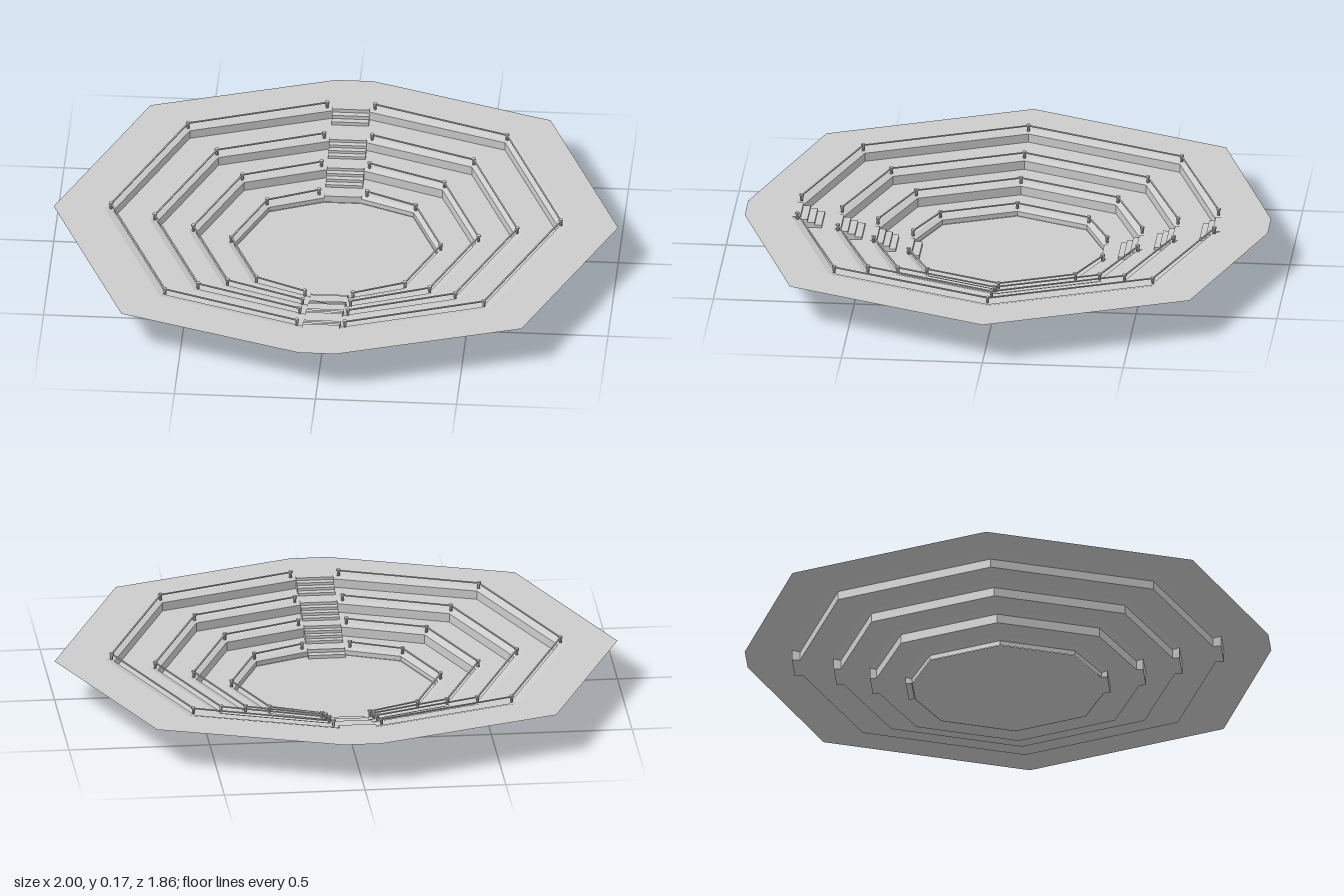
import * as THREE from 'three';

const GAP = 0.066; // half width of the stairways
const material = new THREE.MeshStandardMaterial({ color: 0xcccccc, flatShading: true, side: THREE.DoubleSide });

// Right half of the plan outline, from front to back
const halfOutline = (r, gap = GAP) => [
  [gap, 0.928 * r], [0.709 * r, 0.709 * r], [r, 0], [0.709 * r, -0.709 * r], [gap, -0.928 * r],
];
const outline = (r) => {
  const right = halfOutline(r);
  return [...right, ...right.slice().reverse().map(([x, z]) => [-x, z])];
};

// Sheet lofted between two outlines
function band(r0, y0, r1, y1) {
  const a = outline(r0), b = outline(r1), pos = [];
  a.forEach((p, i) => {
    const j = (i + 1) % a.length;
    const A = [p[0], y0, p[1]], B = [b[i][0], y1, b[i][1]];
    const C = [b[j][0], y1, b[j][1]], D = [a[j][0], y0, a[j][1]];
    pos.push(...A, ...B, ...C, ...A, ...C, ...D);
  });
  const g = new THREE.BufferGeometry();
  g.setAttribute('position', new THREE.Float32BufferAttribute(pos, 3));
  g.computeVertexNormals();
  return g;
}

export function createModel() {
  const model = new THREE.Group();
  model.name = 'terracedPit';
  const add = (geometry, name, parent = model) => {
    const m = new THREE.Mesh(geometry, material);
    m.name = name;
    parent.add(m);
    return m;
  };
  const addBox = (name, parent, y0, y1, z0, z1) => {
    const m = add(new THREE.BoxGeometry(2 * GAP, y1 - y0, Math.abs(z1 - z0)), name, parent);
    m.position.set(0, (y0 + y1) / 2, (z0 + z1) / 2);
  };

  // Sunken floor
  const shape = new THREE.Shape(outline(0.36).map(([x, z]) => new THREE.Vector2(x, -z)));
  add(new THREE.ShapeGeometry(shape).rotateX(-Math.PI / 2), 'floor');

  // Wall radius, lip radius, floor below, terrace above, stair depths and step counts
  const levels = [
    { r: 0.362, lip: 0.385, y0: 0, y1: 0.025, front: [0.027, 1], back: null },
    { r: 0.496, lip: 0.522, y0: 0.025, y1: 0.066, front: [0.068, 3], back: [0.064, 3] },
    { r: 0.633, lip: 0.66, y0: 0.066, y1: 0.106, front: [0.075, 3], back: [0.063, 3] },
    { r: 0.788, lip: 0.82, y0: 0.106, y1: 0.145, front: [0.076, 3], back: [0.045, 2] },
  ];

  const postGeo = new THREE.CylinderGeometry(0.006, 0.005, 0.025, 8);
  const capGeo = new THREE.CylinderGeometry(0.008, 0.008, 0.006, 8);

  levels.forEach(({ r, lip, y0, y1, front, back }, i) => {
    const level = new THREE.Group();
    level.name = `level${i + 1}`;
    model.add(level);

    // Riser wall, sloping lip and flat terrace
    const wallTop = y1 - 0.008;
    add(band(r, y0, r, wallTop), 'wall', level);
    add(band(r, wallTop, lip, y1), 'lip', level);
    add(band(lip, y1, i < 3 ? levels[i + 1].r : 1, y1), 'terrace', level);

    // Stairs at the front and the back
    for (const [side, stair] of [[1, front], [-1, back]]) {
      const wallZ = 0.928 * r;
      addBox('landing', level, y0, y1, side * wallZ, side * 0.928 * lip);
      if (!stair) continue;
      const [depth, count] = stair;
      for (let k = 0; k < count; k++) {
        const top = y0 + (y1 - y0) * (k + 1) / (count + 1);
        addBox('step', level, y0, top, side * (wallZ - depth * (1 - k / count)), side * (wallZ - depth * (1 - (k + 1) / count)));
      }
    }

    // Railings on both sides of the stairway
    for (const side of [1, -1]) {
      const points = halfOutline(r + 0.009, 0.085).map(([x, z]) => new THREE.Vector3(side * x, y1, z));
      points.forEach((p, k) => {
        add(postGeo, 'railPost', level).position.set(p.x, y1 + 0.0125, p.z);
        add(capGeo, 'postCap', level).position.set(p.x, y1 + 0.022, p.z);
        if (k === points.length - 1) return;
        const q = points[k + 1];
        const rail = add(new THREE.BoxGeometry(0.005, 0.004, p.distanceTo(q)), 'handrail', level);
        rail.position.copy(p).add(q).multiplyScalar(0.5).setY(y1 + 0.02);
        rail.rotation.y = Math.atan2(q.x - p.x, q.z - p.z);
      });
    }
  });
  return model;
}
